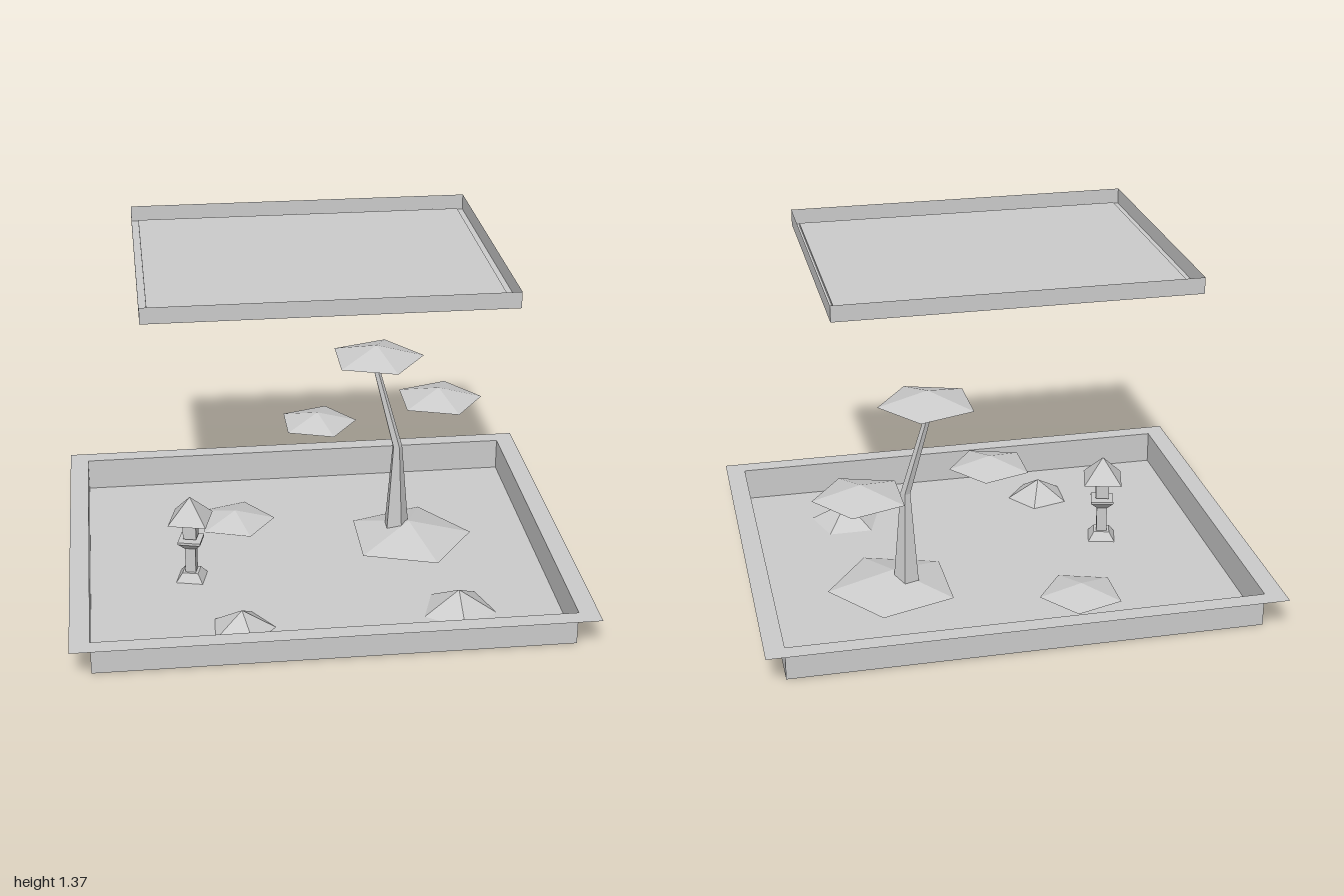
import * as THREE from 'three';

const solid = new THREE.MeshStandardMaterial({ color: 0xcccccc, flatShading: true });
const sheet = new THREE.MeshStandardMaterial({ color: 0xcccccc, flatShading: true, side: THREE.DoubleSide });

function part(name, geometry, material, parent) {
  const mesh = new THREE.Mesh(geometry, material);
  mesh.name = name;
  parent.add(mesh);
  return mesh;
}

// Skin through closed rings that all have the same number of points
function loft(rings) {
  const n = rings[0].length, index = [];
  for (let r = 0; r < rings.length - 1; r++) {
    for (let i = 0; i < n; i++) {
      const a = r * n + i, b = r * n + (i + 1) % n;
      index.push(a, a + n, b, b, a + n, b + n);
    }
  }
  const geometry = new THREE.BufferGeometry();
  geometry.setAttribute('position', new THREE.Float32BufferAttribute(rings.flat(2), 3));
  geometry.setIndex(index);
  geometry.computeVertexNormals();
  return geometry;
}

const rectRing = ([w, d, y]) => [[w, y, d], [w, y, -d], [-w, y, -d], [-w, y, d]];

function polygonRing([x, y, z, r], sides = 5) {
  return Array.from({ length: sides }, (_, i) => {
    const a = i / sides * Math.PI * 2;
    return [x + r * Math.cos(a), y, z - r * Math.sin(a)];
  });
}

// Five-sided cone profile: peak, widest edge, and a shallow underside
function pad(name, x, y, z, r, rise, drop, turn, parent) {
  const profile = [[0, -drop], [r, 0], [0, rise]].map(p => new THREE.Vector2(...p));
  const mesh = part(name, new THREE.LatheGeometry(profile, 5, turn), solid, parent);
  mesh.position.set(x, y, z);
}

export function createModel() {
  const model = new THREE.Group();
  model.name = 'miniatureGarden';

  // Thin-walled basin with an outward rim, and the hovering upper tray
  const basin = [[0, 0, 0], [0.923, 0.762, 0], [0.923, 0.762, 0.135], [1, 0.832, 0.135]];
  part('basin', loft(basin.map(rectRing)), sheet, model);
  const tray = [[0, 0, 1.322], [0.66, 0.545, 1.322], [0.66, 0.545, 1.31], [0.688, 0.57, 1.31], [0.688, 0.57, 1.373]];
  part('upperTray', loft(tray.map(rectRing)), sheet, model);

  // Tree with a bent trunk and three foliage pads
  const tree = new THREE.Group();
  tree.name = 'tree';
  model.add(tree);
  const trunk = [[0.37, 0.03, -0.184, 0.054], [0.367, 0.42, -0.172, 0.021],
    [0.28, 0.76, -0.21, 0.014], [0.28, 0.76, -0.21, 0]];
  part('trunk', loft(trunk.map(c => polygonRing(c))), sheet, tree);
  const foliage = [[0.28, 0.81, -0.208, 0.196, 0.054, 0.017],
    [0.038, 0.527, -0.22, 0.162, 0.043, 0.018], [0.576, 0.53, -0.39, 0.186, 0.05, 0.018]];
  for (const f of foliage) pad('foliagePad', ...f, Math.PI / 2, tree);

  // Low islands and rocks resting on the basin floor
  pad('treeIsland', 0.42, 0.005, -0.155, 0.266, 0.07, 0, Math.PI / 2, model);
  pad('smallIsland', -0.3, 0.005, -0.38, 0.17, 0.045, 0, Math.PI / 2, model);
  pad('rock', -0.34, 0.002, 0.51, 0.13, 0.08, 0, 0.27, model);
  pad('rock', 0.52, 0.002, 0.46, 0.15, 0.085, 0, 0, model);

  // Four-sided lantern: [name, bottom y, top y, bottom radius, top radius]
  const lantern = new THREE.Group();
  lantern.name = 'lantern';
  lantern.position.set(-0.512, 0, 0.086);
  lantern.rotation.y = 0.54;
  model.add(lantern);
  const pieces = [['foot', 0, 0.035, 0.077, 0.045], ['post', 0.03, 0.15, 0.03, 0.03],
    ['flare', 0.143, 0.17, 0.032, 0.063], ['plate', 0.17, 0.18, 0.065, 0.065],
    ['lightBox', 0.188, 0.26, 0.038, 0.038], ['roof', 0.268, 0.367, 0.109, 0]];
  for (const [name, y0, y1, r0, r1] of pieces) {
    part(name, new THREE.CylinderGeometry(r1, r0, y1 - y0, 4), solid, lantern).position.y = (y0 + y1) / 2;
  }
  return model;
}
